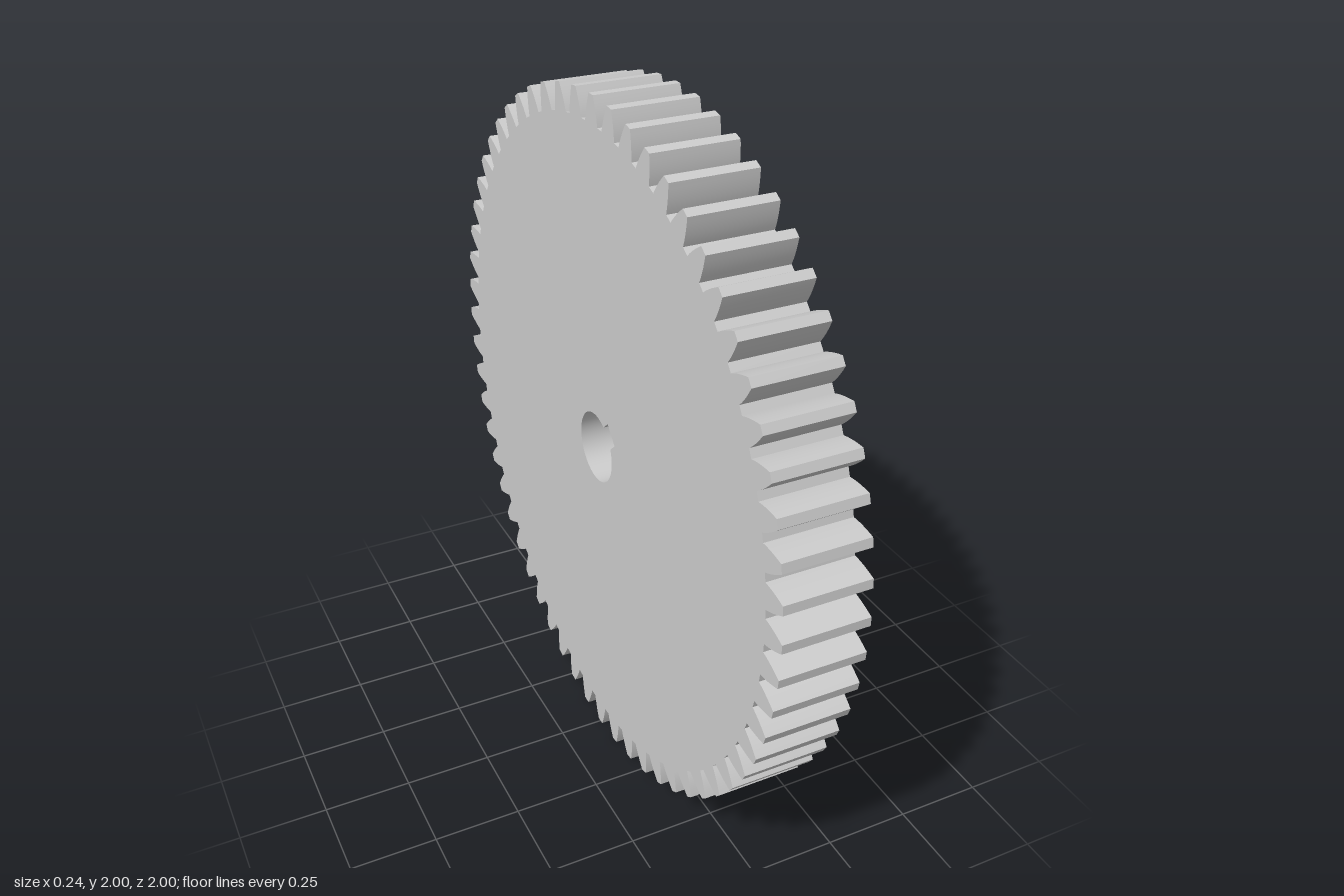
import * as THREE from 'three';
import { toCreasedNormals } from 'three/addons/utils/BufferGeometryUtils.js';

const TEETH = 60, TIP_R = 1, ROOT_R = 0.925, WIDTH = 0.24;
const BORE_R = 0.102, KEY_R = 0.134, KEY_HALF = 0.032, KEY_ANGLE = THREE.MathUtils.degToRad(138);

const polar = (r, a) => new THREE.Vector2(r * Math.cos(a), r * Math.sin(a));

// Involute tooth: half of the angle the tooth spans at radius r
const pitchR = TIP_R * TEETH / (TEETH + 2);
const pressure = THREE.MathUtils.degToRad(20);
const inv = (a) => Math.tan(a) - a;
function halfAngle(r) {
  const a = Math.acos(Math.min(1, pitchR * Math.cos(pressure) / r));
  return Math.PI / (2 * TEETH) + inv(pressure) - inv(a);
}

// Toothed outline, one tooth at a time: rising flank, tip, falling flank
function gearOutline() {
  const points = [], steps = 5;
  for (let i = 0; i < TEETH; i++) {
    const mid = i * Math.PI * 2 / TEETH;
    for (const side of [-1, 1]) {
      for (let k = 0; k <= steps; k++) {
        const t = (side < 0 ? k : steps - k) / steps;
        const r = THREE.MathUtils.lerp(ROOT_R, TIP_R, t);
        points.push(polar(r, mid + side * halfAngle(r)));
      }
    }
  }
  return new THREE.Shape(points);
}

// Round bore with a square keyway cut into one side
function keyedBore() {
  const points = [], steps = 48, gap = Math.asin(KEY_HALF / BORE_R);
  for (let i = 0; i <= steps; i++) {
    points.push(polar(BORE_R, KEY_ANGLE + gap + (Math.PI * 2 - 2 * gap) * i / steps));
  }
  const centre = new THREE.Vector2();
  for (const side of [-1, 1]) {
    points.push(new THREE.Vector2(KEY_R, side * KEY_HALF).rotateAround(centre, KEY_ANGLE));
  }
  return new THREE.Path(points);
}

export function createModel() {
  const group = new THREE.Group();
  group.name = 'spurGear';

  const outline = gearOutline();
  outline.holes.push(keyedBore());
  const solid = new THREE.ExtrudeGeometry(outline, { depth: WIDTH, bevelEnabled: false });
  // Turn the axle onto x and stand the gear on its lowest tooth
  solid.translate(0, 0, -WIDTH / 2);
  solid.rotateY(Math.PI / 2);
  solid.translate(0, TIP_R, 0);

  const gear = new THREE.Mesh(
    toCreasedNormals(solid, 0.25),
    new THREE.MeshStandardMaterial({ color: 0xcccccc })
  );
  gear.name = 'toothedWheel';
  group.add(gear);
  return group;
}
